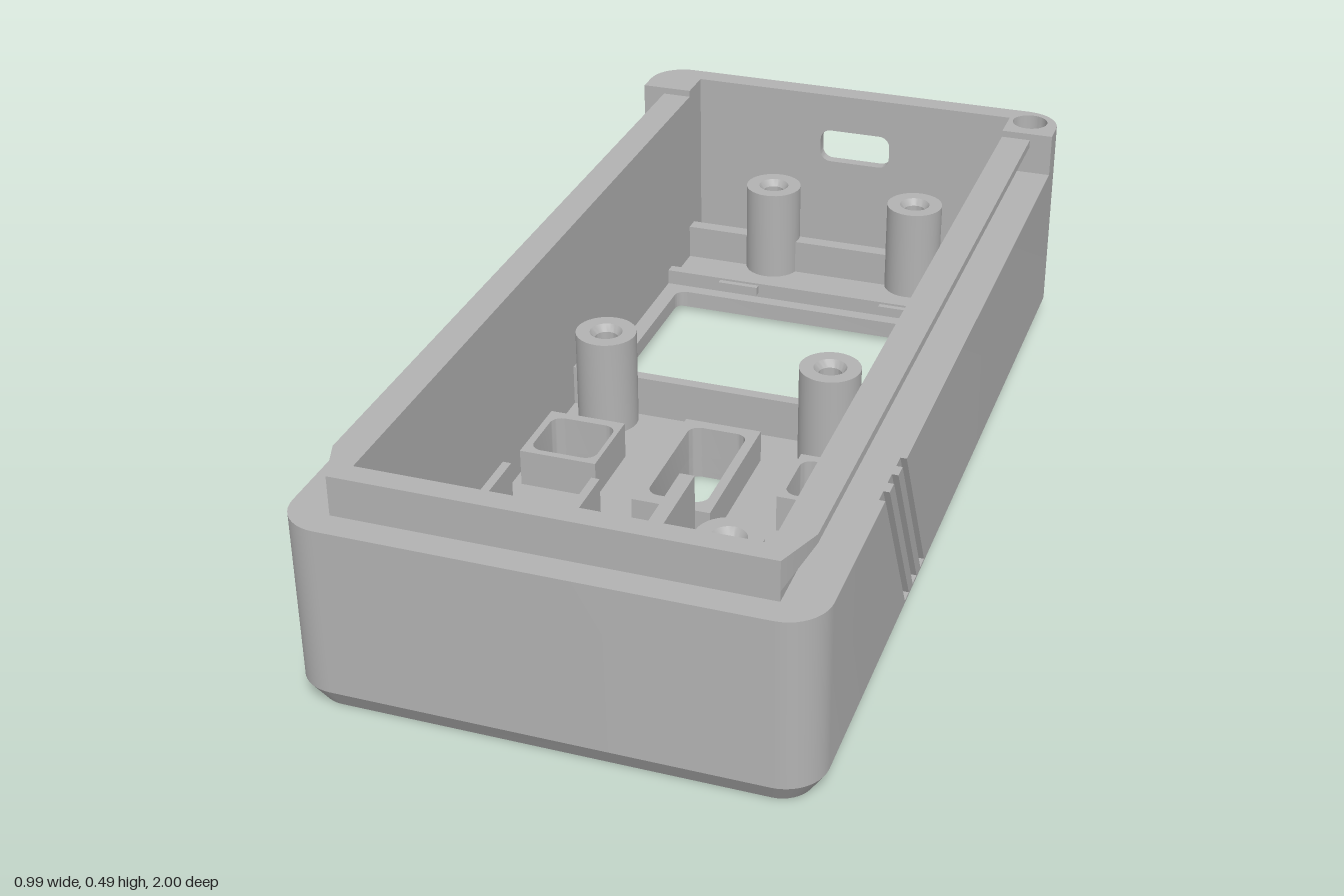
import * as THREE from 'three';
import { toCreasedNormals } from 'three/addons/utils/BufferGeometryUtils.js';

const FLOOR = 0.05, DECK = 0.39, CHAMFER = 0.045;

export function createModel() {
  const model = new THREE.Group();
  const grey = new THREE.MeshStandardMaterial({ color: 0xb2b2b2, side: THREE.DoubleSide });

  const add = (name, geometry) => {
    const mesh = new THREE.Mesh(toCreasedNormals(geometry, 0.5), grey);
    mesh.name = name;
    model.add(mesh);
    return mesh;
  };
  const box = (name, x0, x1, y0, y1, z0, z1) =>
    add(name, new THREE.BoxGeometry(x1 - x0, y1 - y0, z1 - z0)
      .translate((x0 + x1) / 2, (y0 + y1) / 2, (z0 + z1) / 2));

  // Plan shapes use (x, -z) and are extruded upwards
  const arc = (cx, cz, r, a0, a1, n = 10) => Array.from({ length: n + 1 }, (_, i) => {
    const a = THREE.MathUtils.degToRad(a0 + (a1 - a0) * i / n);
    return [cx + r * Math.cos(a), cz + r * Math.sin(a)];
  });
  const plan = (pts, s = 1) => new THREE.Shape(pts.map(([x, z]) => new THREE.Vector2(s * x, -z)));
  const roundRect = (x0, x1, z0, z1, r) => [
    ...arc(x1 - r, z1 - r, r, 90, 0), ...arc(x1 - r, z0 + r, r, 0, -90),
    ...arc(x0 + r, z0 + r, r, -90, -180), ...arc(x0 + r, z1 - r, r, 180, 90),
  ];
  const slab = (name, shape, y0, y1, holes = []) => {
    shape.holes.push(...holes.map((h) => plan(h)));
    const g = new THREE.ExtrudeGeometry(shape, { depth: y1 - y0, bevelEnabled: false });
    return add(name, g.rotateX(-Math.PI / 2).translate(0, y0, 0));
  };

  // Side walls, rear cap and raised lip, each as mirrored halves
  const rearCorner = arc(0.415, -0.92, 0.08, 0, -90);
  const rearInside = [[0.2, -1], [0.2, -0.95], [0.38, -0.95]];
  const wall = [[0, 1], ...arc(0.415, 0.92, 0.08, 90, 0),
    [0.495, 0.65], [0.483, 0.65], [0.483, 0.2], [0.495, 0.2],
    ...rearCorner, ...rearInside, [0.38, 0.9], [0, 0.9]];
  const cap = [[0.495, -0.87], ...rearCorner, ...rearInside, [0.38, -0.87]];
  const lip = [[0, 0.945], [0.41, 0.945], [0.41, -0.87], [0.38, -0.87], [0.38, 0.9], [0, 0.9]];
  for (const s of [1, -1]) {
    slab('wall', plan(wall, s), CHAMFER, DECK);
    slab('rearCap', plan(cap, s), DECK, 0.485, s > 0 ? [arc(0.43, -0.94, 0.04, 0, 345, 23)] : []);
    slab('lip', plan(lip, s), DECK, 0.47);

    // Undercut dovetail rail with a tapered front end
    const rail = [[0.41, 0.41], [0.445, 0.452], [0.445, 0.47], [0.41, 0.47]];
    const rings = [rail.map(([x, y]) => [x, y, -0.87]),
      rail.map(([x, y]) => [x, y, x > 0.42 ? 0.85 : 0.945])];
    const pos = [];
    const quad = (a, b, c, d) => pos.push(...[a, b, c, a, c, d].flatMap(([x, y, z]) => [s * x, y, z]));
    for (let i = 0; i < 4; i++) {
      const j = (i + 1) % 4;
      quad(rings[0][i], rings[0][j], rings[1][j], rings[1][i]);
    }
    quad(...rings[1]);
    const railGeometry = new THREE.BufferGeometry();
    railGeometry.setAttribute('position', new THREE.Float32BufferAttribute(pos, 3));
    railGeometry.computeVertexNormals();
    if (s < 0) {
      // keep the mirrored rail's corners in outward order
      const p = railGeometry.attributes.position.array;
      for (let i = 0; i < p.length; i += 9)
        for (let k = 0; k < 3; k++) [p[i + 3 + k], p[i + 6 + k]] = [p[i + 6 + k], p[i + 3 + k]];
      railGeometry.computeVertexNormals();
    }
    add('dovetailRail', railGeometry);

    // Grip panel with three slanted grooves
    const comb = [[0.65, CHAMFER], [0.65, DECK]];
    for (const z of [0.58, 0.52, 0.46])
      comb.push([z + 0.015, DECK], [z - 0.175, 0.05], [z - 0.205, 0.05], [z - 0.015, DECK]);
    comb.push([0.2, DECK], [0.2, CHAMFER]);
    const panel = new THREE.Shape(comb.map(([z, y]) => new THREE.Vector2(-z, y)));
    add('gripPanel', new THREE.ExtrudeGeometry(panel, { depth: 0.012, bevelEnabled: false })
      .rotateY(Math.PI / 2).translate(s > 0 ? 0.483 : -0.495, 0, 0));
  }

  // Rear port: wide recess outside, smaller opening inside
  const port = (name, w, h, r, z) => {
    const shape = new THREE.Shape([[-0.2, CHAMFER], [0.2, CHAMFER], [0.2, 0.485], [-0.2, 0.485]]
      .map(([x, y]) => new THREE.Vector2(x, y)));
    shape.holes.push(new THREE.Path(roundRect(-w / 2 + 0.01, w / 2 + 0.01, 0.355 - h / 2, 0.355 + h / 2, r)
      .map(([x, y]) => new THREE.Vector2(x, y))));
    add(name, new THREE.ExtrudeGeometry(shape, { depth: 0.025, bevelEnabled: false }).translate(0, 0, z));
  };
  port('portRecess', 0.25, 0.16, 0.045, -1);
  port('portOpening', 0.17, 0.08, 0.025, -0.975);

  // Chamfer around the base
  const upper = roundRect(-0.495, 0.495, -1, 1, 0.08);
  const lower = roundRect(-0.468, 0.468, -0.972, 0.972, 0.06);
  const chamferPos = [], chamferIndex = [], n = upper.length;
  for (let i = 0; i < n; i++) {
    chamferPos.push(lower[i][0], 0, lower[i][1], upper[i][0], CHAMFER, upper[i][1]);
    const a = 2 * i, b = 2 * ((i + 1) % n);
    chamferIndex.push(a, b, b + 1, a, b + 1, a + 1);
  }
  const chamfer = new THREE.BufferGeometry();
  chamfer.setAttribute('position', new THREE.Float32BufferAttribute(chamferPos, 3));
  chamfer.setIndex(chamferIndex);
  chamfer.computeVertexNormals();
  add('baseChamfer', chamfer);

  // Floor in two layers: outer skin with an engraved key outline, inner plate
  const key = (r, half, tip) => [
    ...arc(-0.15, 0.68, r, 25, 335, 28),
    [0.1, 0.68 - half], [tip - 0.05, 0.68 - half], [tip, 0.68],
    [tip - 0.05, 0.68 + half], [tip - 0.09, 0.68 + half * 0.5], [tip - 0.12, 0.68 + half],
    [tip - 0.15, 0.68 + half * 0.5], [tip - 0.18, 0.68 + half],
  ];
  const openings = [
    roundRect(-0.345, -0.205, 0.1, 0.235, 0.025),
    roundRect(0.2, 0.34, 0.1, 0.235, 0.025),
    roundRect(-0.065, 0.06, 0.03, 0.305, 0.025),
  ];
  slab('floorSkin', plan(lower), 0, 0.014,
    [...openings, roundRect(-0.365, 0.36, -0.695, -0.14, 0.03), key(0.12, 0.05, 0.255)]);
  slab('keyInlay', plan(key(0.1, 0.033, 0.225)), 0, 0.014);
  slab('floorPlate', plan(roundRect(-0.44, 0.44, -0.96, 0.95, 0.02)), 0.014, FLOOR,
    [...openings, roundRect(-0.345, 0.34, -0.675, -0.16, 0.025)]);

  // Frames around the button and switch openings
  const frame = (name, x0, x1, z0, z1, hole, top) =>
    slab(name, plan([[x0, z0], [x1, z0], [x1, z1], [x0, z1]]), FLOOR, top, [hole]);
  frame('buttonFrame', -0.36, -0.195, 0.08, 0.25, openings[0], 0.13);
  frame('buttonFrame', 0.19, 0.355, 0.08, 0.25, openings[1], 0.13);
  frame('switchFrame', -0.085, 0.08, 0.005, 0.335, openings[2], 0.12);

  // Screw posts with bores
  const post = (name, x, z, r, bore, top) => add(name, new THREE.LatheGeometry([
    [r, FLOOR], [r, top], [bore * 1.4, top], [bore, top - 0.015], [bore, top - 0.1], [0, top - 0.1],
  ].map(([a, b]) => new THREE.Vector2(a, b)), 32).translate(x, 0, z));
  for (const [x, z] of [[-0.17, -0.88], [0.18, -0.88], [-0.285, -0.055], [0.21, -0.055], [0.21, 0.61]])
    post('screwPost', x, z, 0.065, 0.025, 0.265);
  for (const z of [0.505, 0.67]) post('smallPost', -0.055, z, 0.036, 0.018, 0.16);

  // Cross ribs and clips around the display window
  box('rearRib', -0.38, 0.38, FLOOR, 0.13, -0.895, -0.862);
  box('windowRib', -0.38, 0.38, FLOOR, 0.085, -0.73, -0.705);
  box('windowRib', -0.38, 0.38, FLOOR, 0.085, -0.155, -0.12);
  box('middleRib', -0.38, 0.38, FLOOR, 0.14, -0.12, -0.095);
  for (const x of [-0.2, 0.195]) box('displayClip', x - 0.048, x + 0.048, 0.06, 0.08, -0.71, -0.692);
  box('sideClip', 0.367, 0.385, 0.06, 0.13, -0.5, -0.36);

  // L-shaped partition
  box('partition', 0.045, 0.075, FLOOR, 0.25, 0.41, 0.775);
  box('partition', 0.075, 0.38, FLOOR, 0.25, 0.74, 0.775);

  // Raised pad with the buzzer holder
  slab('raisedPad', plan([[-0.38, 0.335], [-0.105, 0.335], [-0.105, 0.41], [0.05, 0.41],
    [0.05, 0.775], [-0.38, 0.775]]), FLOOR, 0.065);
  for (const x of [-0.355, -0.165]) box('holderSide', x, x + 0.018, FLOOR, 0.16, 0.345, 0.765);
  for (const z of [0.62, 0.69]) box('holderBar', -0.362, -0.142, FLOOR, 0.2, z, z + 0.04);
  box('holderEnd', -0.337, -0.165, FLOOR, 0.16, 0.745, 0.765);

  return model;
}
